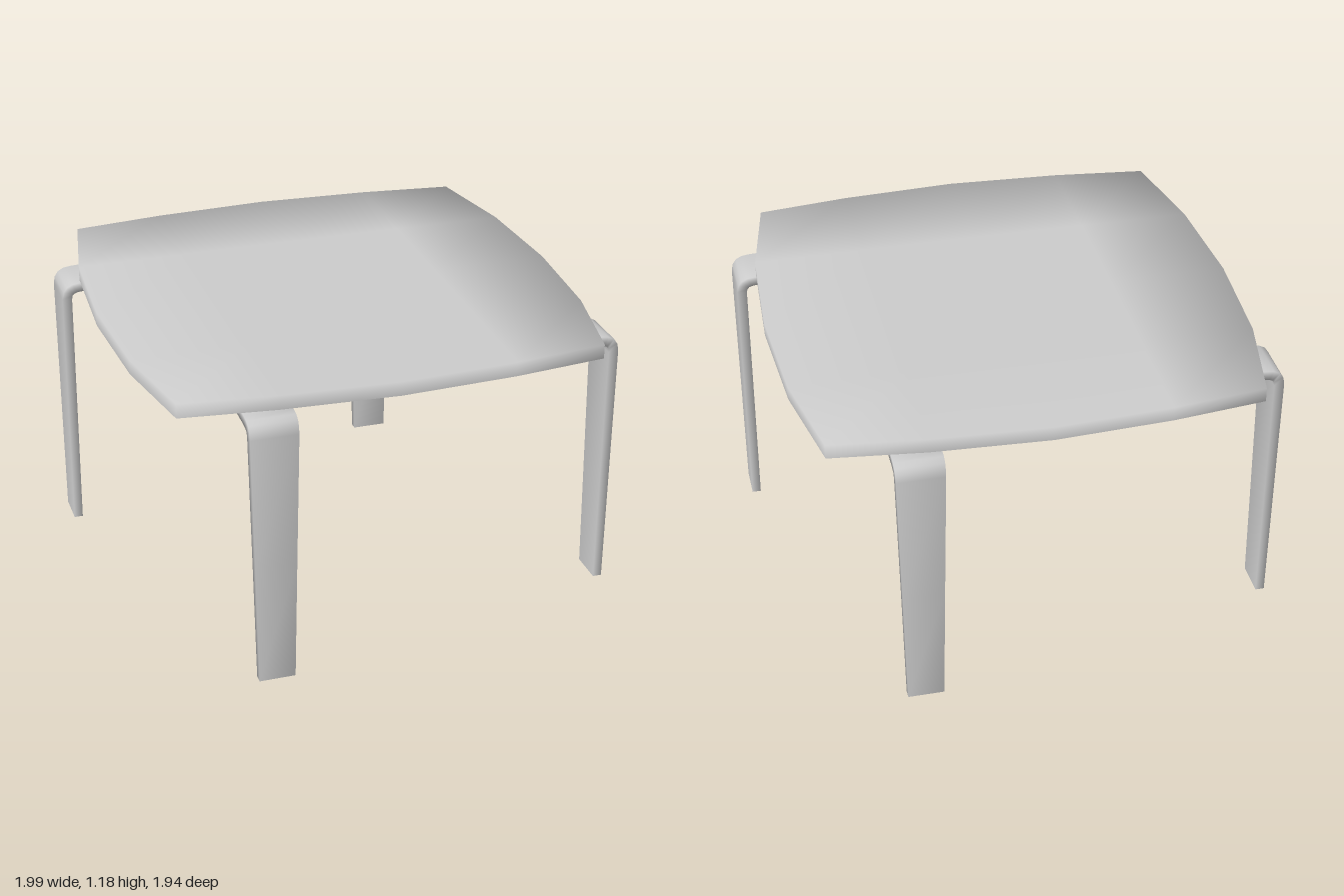
import * as THREE from 'three';

// Both parts are open shells, so they show from inside too
const material = new THREE.MeshStandardMaterial({ color: 0xcccccc, side: THREE.DoubleSide });

// Square shell, open below, whose sides bow outwards, softly shaded towards the rim
function tabletopGeometry() {
  const geo = new THREE.BoxGeometry(4, 0.058, 4, 4, 1, 4);
  const pos = geo.attributes.position;
  const rimX = [0.944, 0.918, 0.84];
  const rimZ = [0.943, 0.918, 0.873];
  for (let k = 0; k < pos.count; k++) {
    const i = Math.round(pos.getX(k)), j = Math.round(pos.getZ(k));
    const a = Math.abs(i), b = Math.abs(j);
    pos.setX(k, Math.sign(i) * [0, 0.465, rimX[b]][a]);
    pos.setZ(k, Math.sign(j) * [0, 0.465, rimZ[a]][b]);
    const n = new THREE.Vector3(
      a === 2 ? Math.sign(i) : 0, pos.getY(k) > 0 ? 1 : 0, b === 2 ? Math.sign(j) : 0).normalize();
    geo.attributes.normal.setXYZ(k, n.x, n.y, n.z);
  }
  // Leave out the underside
  const under = geo.groups[3];
  geo.setIndex(Array.from(geo.index.array).filter(
    (_, k) => k < under.start || k >= under.start + under.count));
  geo.clearGroups();
  return geo;
}

// Bent leg: an open rectangular tube with an arm, a bend and a tapering post.
// Each station gives outer x, y, inner x, y and the width along z.
function legGeometry() {
  const stations = [
    [0.683, 1.123, 0.683, 1.081, 0.19],
    [0.92, 1.111, 0.915, 1.073, 0.19],
    [0.951, 1.107, 0.932, 1.071, 0.19],
    [0.976, 1.094, 0.945, 1.066, 0.189],
    [0.99, 1.073, 0.953, 1.057, 0.188],
    [0.996, 1.045, 0.956, 1.04, 0.187],
    [0.996, 0.5, 0.958, 0.5, 0.164],
    [0.996, 0, 0.96, 0, 0.144],
  ];
  const positions = [], index = [];
  for (const [ox, oy, ix, iy, width] of stations) {
    const w = width / 2;
    positions.push(ix, iy, w, ox, oy, w, ox, oy, -w, ix, iy, -w);
  }
  for (let r = 0; r < stations.length - 1; r++) {
    for (let c = 0; c < 4; c++) {
      const a = r * 4 + c, b = r * 4 + (c + 1) % 4;
      index.push(a, a + 4, b, b, a + 4, b + 4);
    }
  }
  const geo = new THREE.BufferGeometry();
  geo.setAttribute('position', new THREE.Float32BufferAttribute(positions, 3));
  geo.setIndex(index);
  geo.computeVertexNormals();
  return geo;
}

export function createModel() {
  const model = new THREE.Group();
  model.name = 'table';

  const top = new THREE.Mesh(tabletopGeometry(), material);
  top.name = 'tabletop';
  top.position.set(-0.004, 1.156, -0.001);
  model.add(top);

  // Four legs set in a pinwheel, each beside a corner
  const geo = legGeometry();
  ['leftLeg', 'backLeg', 'rightLeg', 'frontLeg'].forEach((name, k) => {
    const pivot = new THREE.Group();
    pivot.name = name + 'Pivot';
    pivot.rotation.y = k * Math.PI / 2;
    const leg = new THREE.Mesh(geo, material);
    leg.name = name;
    const sideways = k % 2 === 1;
    leg.position.set(sideways ? -0.024 : 0, 0, sideways ? 0.503 : 0.567);
    pivot.add(leg);
    model.add(pivot);
  });
  return model;
}
